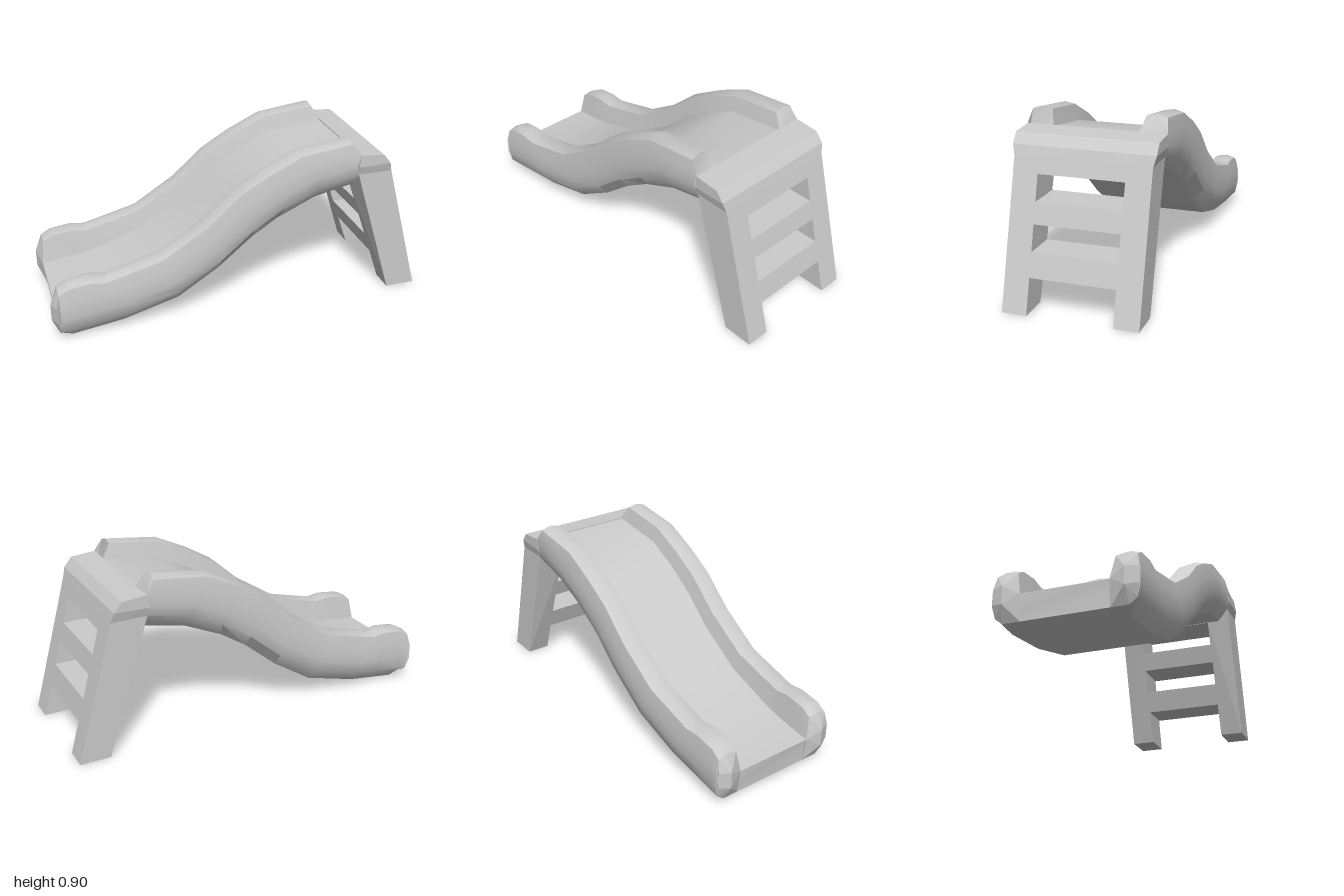
import * as THREE from 'three';
import { toCreasedNormals } from 'three/addons/utils/BufferGeometryUtils.js';
import { ConvexGeometry } from 'three/addons/geometries/ConvexGeometry.js';

const material = new THREE.MeshStandardMaterial({ color: 0xcccccc });

function addMesh(group, name, geometry) {
  const mesh = new THREE.Mesh(geometry, material);
  mesh.name = name;
  group.add(mesh);
}

const solid = (points) => new ConvexGeometry(points.map((p) => new THREE.Vector3(...p)));

// Prism along z from an x-y profile
const prism = (profile, halfWidth) =>
  solid(profile.flatMap(([x, y]) => [[x, y, -halfWidth], [x, y, halfWidth]]));

// Stations along the slide, each [x, y]: underside, lower edge, bed, rail top
const stations = [
  [[-0.96, 0.03], [-0.96, 0.06], [-0.975, 0.16], [-0.96, 0.285]],
  [[-0.9, 0.003], [-0.92, 0.065], [-0.92, 0.165], [-0.91, 0.315]],
  [[-0.76, 0.022], [-0.76, 0.088], [-0.8, 0.18], [-0.8, 0.33]],
  [[-0.63, 0.04], [-0.61, 0.11], [-0.7, 0.2], [-0.72, 0.32]],
  [[-0.34, 0.12], [-0.34, 0.19], [-0.42, 0.29], [-0.43, 0.395]],
  [[-0.12, 0.26], [-0.12, 0.33], [-0.18, 0.44], [-0.2, 0.54]],
  [[0.06, 0.41], [0.06, 0.48], [-0.01, 0.59], [-0.03, 0.69]],
  [[0.2, 0.5], [0.22, 0.58], [0.14, 0.69], [0.12, 0.78]],
  [[0.4, 0.59], [0.4, 0.66], [0.31, 0.775], [0.3, 0.865]],
  [[0.62, 0.637], [0.62, 0.71], [0.63, 0.815], [0.58, 0.9]],
];

// Half of the cross-section, from the underside round the rail to the bed
function halfSection([under, low, bed, top], isLast) {
  const shoulder = [top[0], top[1] - 0.015];
  const between = (t) => [low[0] + (shoulder[0] - low[0]) * t, low[1] + (shoulder[1] - low[1]) * t];
  const upper = between(0.65);
  if (isLast) upper[0] = 0.62;
  return [
    [...under, 0.28], [...low, 0.338], [...between(0.3), 0.35], [...upper, 0.35],
    [...shoulder, 0.338], [...top, 0.29], [top[0], top[1] - 0.01, 0.235], [...bed, 0.213],
  ];
}

function slideGeometry() {
  const rings = stations.map((s, i) => {
    const half = halfSection(s, i === stations.length - 1);
    return [...half, ...half.map(([x, y, z]) => [x, y, -z]).reverse()];
  });
  const n = rings[0].length;
  const index = [];
  for (let i = 0; i < rings.length - 1; i++) {
    for (let j = 0; j < n; j++) {
      const a = i * n + j, d = i * n + (j + 1) % n;
      index.push(a, a + n, d, a + n, d + n, d);
    }
  }
  // End caps
  const cap = (ring) => THREE.ShapeUtils.triangulateShape(ring.map(([, y, z]) => new THREE.Vector2(z, y)), []);
  const last = (rings.length - 1) * n;
  for (const [a, b, c] of cap(rings[0])) index.push(a, b, c);
  for (const [a, b, c] of cap(rings[rings.length - 1])) index.push(last + a, last + c, last + b);

  const geometry = new THREE.BufferGeometry();
  geometry.setAttribute('position', new THREE.Float32BufferAttribute(rings.flat(2), 3));
  geometry.setIndex(index);
  return toCreasedNormals(geometry, 0.6);
}

export function createModel() {
  const group = new THREE.Group();
  group.name = 'playgroundSlide';

  addMesh(group, 'slideChute', slideGeometry());

  // Platform at the head of the slide
  const platform = [
    [0.615, 0.71, 0.337], [0.805, 0.71, 0.337], [0.79, 0.76, 0.35],
    [0.75, 0.81, 0.35], [0.62, 0.82, 0.35], [0.615, 0.755, 0.35],
  ];
  addMesh(group, 'platform', solid(platform.flatMap(([x, y, z]) => [[x, y, z], [x, y, -z]])));

  for (const side of [1, -1]) {
    const prefix = side > 0 ? 'left' : 'right';
    const mirrored = (points) => solid(points.map(([x, y, z]) => [x, y, z * side]));

    // Pointed nose closing the lower end of each rail
    addMesh(group, prefix + 'RailNose', mirrored([
      [-0.96, 0.03, 0.213], [-0.96, 0.03, 0.3], [-0.96, 0.06, 0.338], [-0.975, 0.12, 0.35],
      [-0.975, 0.2, 0.35], [-0.96, 0.27, 0.338], [-0.96, 0.285, 0.29], [-0.96, 0.275, 0.235],
      [-0.975, 0.16, 0.213], [-1, 0.2, 0.29], [-1, 0.11, 0.29],
    ]));

    // Sloping ladder leg
    addMesh(group, prefix + 'LadderLeg', mirrored([
      [0.62, 0.71, 0.337], [0.805, 0.71, 0.337], [0.805, 0.71, 0.213], [0.62, 0.635, 0.213],
      [0.84, 0, 0.337], [1, 0, 0.337], [1, 0, 0.213], [0.84, 0, 0.213],
    ]));
  }

  // Crossbar and rungs follow the slope of the legs
  const frontX = (y) => 0.84 - y * (0.22 / 0.635);
  const backX = (y) => 1 - y * (0.195 / 0.71);
  [[0.635, 0.715], [0.41, 0.51], [0.285, 0.17]].forEach(([y0, y1], i) => {
    const corners = [y0, y1].flatMap((y) => [[Math.max(frontX(y), 0.62), y], [backX(y), y]]);
    addMesh(group, i === 0 ? 'topCrossbar' : 'ladderRung', prism(corners, 0.215));
  });

  return group;
}
